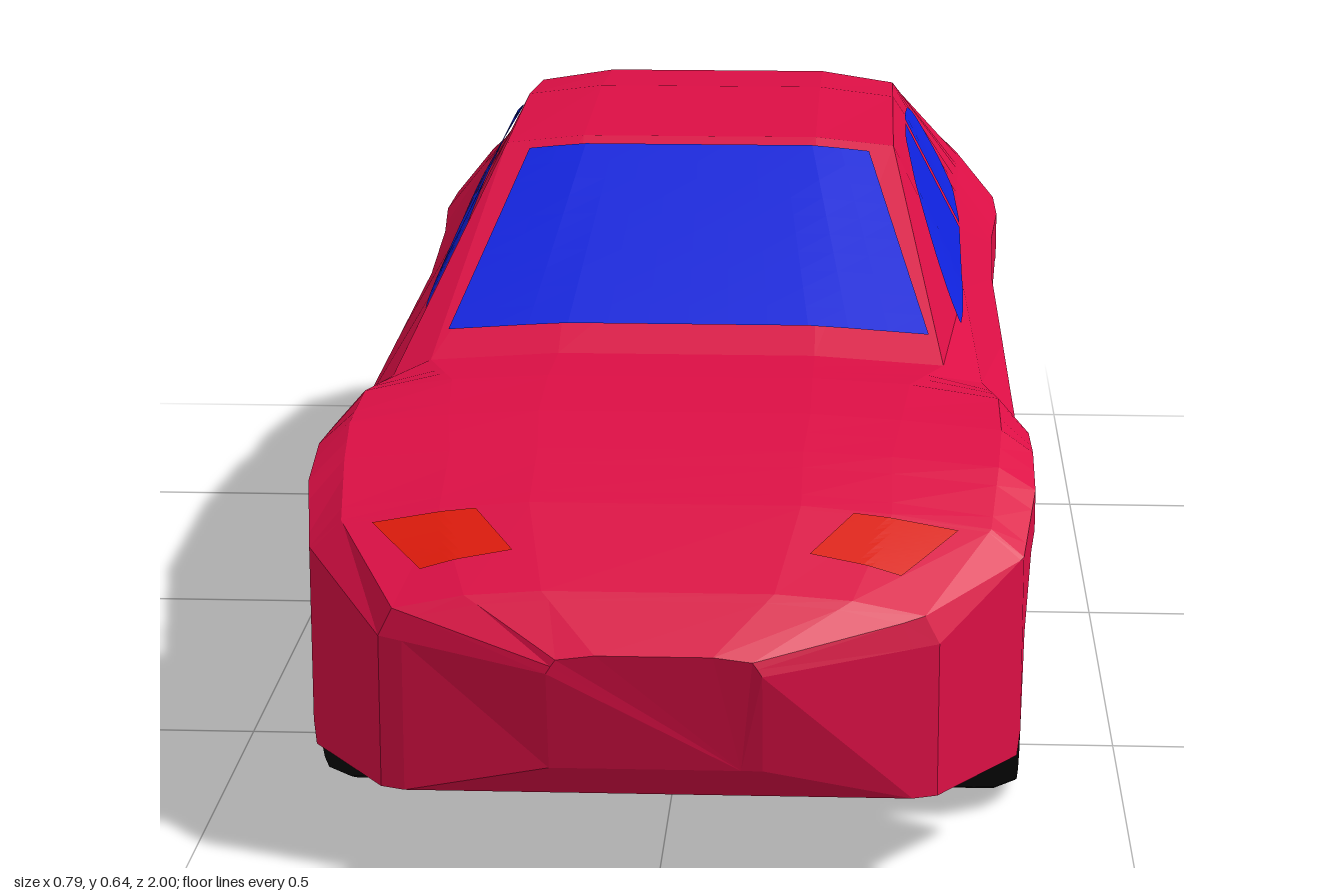
import * as THREE from 'three';

const mat = (color, side = THREE.FrontSide) =>
  new THREE.MeshStandardMaterial({ color, flatShading: true, side });
const paint = mat(0xdc0f45);
const glass = mat(0x0f22dd, THREE.DoubleSide);
const lamp = mat(0xdd1a0a, THREE.DoubleSide);
const rubber = mat(0x0a0a0a);
const alloy = mat(0xb0b0b0, THREE.DoubleSide);

// Upper body: z, half width, belt y, shoulder x, shoulder y, roof edge x, roof edge y, centre y
const UPPER = [
  [-1, 0.03, 0.40, 0.028, 0.46, 0.025, 0.485, 0.488],
  [-0.97, 0.25, 0.40, 0.245, 0.46, 0.225, 0.485, 0.492],
  [-0.88, 0.33, 0.40, 0.315, 0.46, 0.28, 0.49, 0.497],
  [-0.77, 0.365, 0.405, 0.325, 0.47, 0.29, 0.50, 0.507],
  [-0.68, 0.388, 0.41, 0.335, 0.475, 0.275, 0.53, 0.547],
  [-0.57, 0.39, 0.408, 0.335, 0.475, 0.252, 0.58, 0.597],
  [-0.45, 0.38, 0.40, 0.33, 0.47, 0.24, 0.615, 0.63],
  [-0.25, 0.375, 0.385, 0.33, 0.455, 0.24, 0.63, 0.642],
  [0.05, 0.38, 0.37, 0.33, 0.44, 0.24, 0.62, 0.63],
  [0.37, 0.385, 0.355, 0.345, 0.40, 0.30, 0.42, 0.43],
  [0.50, 0.395, 0.375, 0.36, 0.415, 0.26, 0.43, 0.436],
  [0.62, 0.395, 0.385, 0.36, 0.41, 0.25, 0.42, 0.426],
  [0.70, 0.395, 0.365, 0.355, 0.39, 0.24, 0.40, 0.405],
  [0.80, 0.38, 0.32, 0.345, 0.35, 0.24, 0.365, 0.373],
  [0.93, 0.29, 0.265, 0.275, 0.295, 0.20, 0.31, 0.316],
  [1, 0.11, 0.25, 0.105, 0.258, 0.10, 0.265, 0.27],
];

// Underside: z, floor y, wheel arch y
const LOWER = [
  [-1, 0.19, 0.19], [-0.79, 0.14, 0.14], [-0.775, 0.18, 0.25], [-0.73, 0.18, 0.315],
  [-0.66, 0.18, 0.35], [-0.55, 0.18, 0.345], [-0.49, 0.18, 0.31], [-0.45, 0.13, 0.25],
  [-0.42, 0.10, 0.10], [0.435, 0.10, 0.10], [0.46, 0.18, 0.23], [0.51, 0.18, 0.305],
  [0.58, 0.18, 0.34], [0.66, 0.18, 0.34], [0.73, 0.18, 0.305], [0.78, 0.18, 0.23],
  [0.805, 0.10, 0.10], [0.94, 0.10, 0.10], [1, 0.14, 0.14],
];

const lerp = THREE.MathUtils.lerp;

// Interpolated row of a table sorted by its first column
function sample(table, z) {
  let i = 0;
  while (i < table.length - 2 && z > table[i + 1][0]) i++;
  const [a, b] = [table[i], table[i + 1]];
  const t = THREE.MathUtils.clamp((z - a[0]) / (b[0] - a[0]), 0, 1);
  return a.map((v, k) => lerp(v, b[k], t));
}

const flatHalf = (wr) => Math.min(0.15, wr * 0.6);

// Height of the hood, roof or tail above a point
function topY(x, z) {
  const [, , , ws, ys, wr, yr, yt] = sample(UPPER, z);
  const wt = flatHalf(wr), ax = Math.abs(x);
  if (ax <= wt) return yt;
  return ax <= wr ? lerp(yt, yr, (ax - wt) / (wr - wt)) : lerp(yr, ys, (ax - wr) / (ws - wr));
}

// Half width of the cabin side at a height
function sideX(y, z) {
  const [, , , ws, ys, wr, yr] = sample(UPPER, z);
  return lerp(ws, wr, (y - ys) / (yr - ys));
}

function geometryFrom(positions, index) {
  const g = new THREE.BufferGeometry();
  g.setAttribute('position', new THREE.Float32BufferAttribute(positions, 3));
  g.setIndex(index);
  g.computeVertexNormals();
  return g;
}

// Closed body lofted through its cross-sections
function bodyGeometry() {
  const zs = [...new Set([...UPPER, ...LOWER].map((r) => r[0]))].sort((a, b) => a - b);
  const pos = [], idx = [], n = 14;
  for (const z of zs) {
    const [, w, belt, ws, ys, wr, yr, yt] = sample(UPPER, z);
    const [, floor, arch] = sample(LOWER, z);
    const inner = Math.min(0.24, w * 0.8);
    const half = [[inner, floor], [inner, arch], [w, arch], [w, belt], [ws, ys], [wr, yr], [flatHalf(wr), yt]];
    const ring = [...half, ...half.map(([x, y]) => [-x, y]).reverse()];
    // The bumper sits a little behind the nose lip
    for (const [x, y] of ring) pos.push(x, y, z === 1 && y < 0.2 ? 0.975 : z);
  }
  const last = (zs.length - 1) * n;
  for (let o = 0; o < last; o += n)
    for (let j = 0; j < n; j++) {
      const k = (j + 1) % n;
      idx.push(o + j, o + k, o + n + k, o + j, o + n + k, o + n + j);
    }
  for (let j = 1; j < n - 1; j++) idx.push(0, j + 1, j, last, last + j, last + j + 1);
  return geometryFrom(pos, idx);
}

// Surface patch from a rule of u and v
function patch(rule, material, name, nu = 12, nv = 10) {
  const pos = [], idx = [];
  for (let i = 0; i <= nu; i++)
    for (let j = 0; j <= nv; j++) {
      pos.push(...rule(i / nu, j / nv));
      if (i < nu && j < nv) {
        const a = i * (nv + 1) + j, b = a + nv + 1;
        idx.push(a, b, b + 1, a, b + 1, a + 1);
      }
    }
  const mesh = new THREE.Mesh(geometryFrom(pos, idx), material);
  mesh.name = name;
  return mesh;
}

// Four x,z corners laid onto the top of the body
const onTop = (c, lift, material, name) => patch((u, v) => {
  const [x, z] = [0, 1].map((k) => lerp(lerp(c[0][k], c[1][k], u), lerp(c[3][k], c[2][k], u), v));
  return [x, topY(x, z) + lift, z];
}, material, name);

// Side window outline: z, sill y, top y
const WINDOW = [
  [-0.43, 0.555, 0.572], [-0.415, 0.52, 0.583], [-0.37, 0.485, 0.595], [-0.25, 0.465, 0.608],
  [-0.1, 0.46, 0.603], [0.05, 0.455, 0.575], [0.25, 0.443, 0.446],
];

function wheel() {
  const g = new THREE.Group();
  const profile = [[0, -0.06], [0.135, -0.06], [0.15, -0.045], [0.15, 0.035], [0.14, 0.06], [0.112, 0.06], [0.106, 0.048], [0, 0.048]];
  const tyre = new THREE.Mesh(new THREE.LatheGeometry(profile.map((p) => new THREE.Vector2(...p)), 24), rubber);
  tyre.rotation.z = -Math.PI / 2;
  tyre.name = 'tyre';
  g.add(tyre);
  // Wedge spokes
  const shape = new THREE.Shape([[-0.006, 0.018], [0.006, 0.018], [0.019, 0.1], [-0.019, 0.1]].map((p) => new THREE.Vector2(...p)));
  const spokeGeometry = new THREE.ExtrudeGeometry(shape, { depth: 0.006, bevelEnabled: false });
  for (let i = 0; i < 10; i++) {
    const spoke = new THREE.Mesh(spokeGeometry, alloy);
    spoke.rotation.z = (i * Math.PI) / 5;
    spoke.name = 'spoke';
    const holder = new THREE.Group();
    holder.rotation.y = Math.PI / 2;
    holder.position.x = 0.048;
    holder.add(spoke);
    g.add(holder);
  }
  return g;
}

export function createModel() {
  const car = new THREE.Group();
  const body = new THREE.Mesh(bodyGeometry(), paint);
  body.name = 'body';
  car.add(body);

  car.add(onTop([[-0.283, 0.335], [0.283, 0.335], [0.21, 0.07], [-0.21, 0.07]], 0.006, glass, 'windshield'));
  car.add(onTop([[-0.21, -0.555], [0.21, -0.555], [0.28, -0.735], [-0.28, -0.735]], 0.005, glass, 'rearWindow'));

  for (const s of [1, -1]) {
    const side = s > 0 ? 'left' : 'right';
    // Front and rear side windows, split by the door pillar
    for (const [name, z0, z1] of [['FrontWindow', -0.2, 0.25], ['RearWindow', -0.43, -0.22]])
      car.add(patch((u, v) => {
        const z = lerp(z0, z1, u) + (v - 0.5) * 0.02 * (name === 'FrontWindow' ? 1 - u : u);
        const [, lo, hi] = sample(WINDOW, z);
        const y = lerp(lo, hi, v);
        return [s * (sideX(y, z) + 0.005), y, z];
      }, glass, side + name, 18, 4));

    car.add(onTop([[0.31, 0.815], [0.2, 0.81], [0.155, 0.875], [0.25, 0.89]].map(([x, z]) => [s * x, z]), 0.005, lamp, side + 'Headlight'));

    const w = wheel();
    w.name = side + 'FrontWheel';
    w.position.set(s * 0.322, 0.152, 0.62);
    if (s < 0) w.rotation.y = Math.PI;
    car.add(w);

    // Tail lamp panel following the curved tail
    const tail = new THREE.Mesh(new THREE.BoxGeometry(0.07, 0.035, 0.008), paint);
    tail.position.set(s * 0.195, 0.42, -0.977);
    tail.rotation.y = -s * 0.135;
    tail.name = side + 'TailPanel';
    car.add(tail);
  }
  return car;
}
